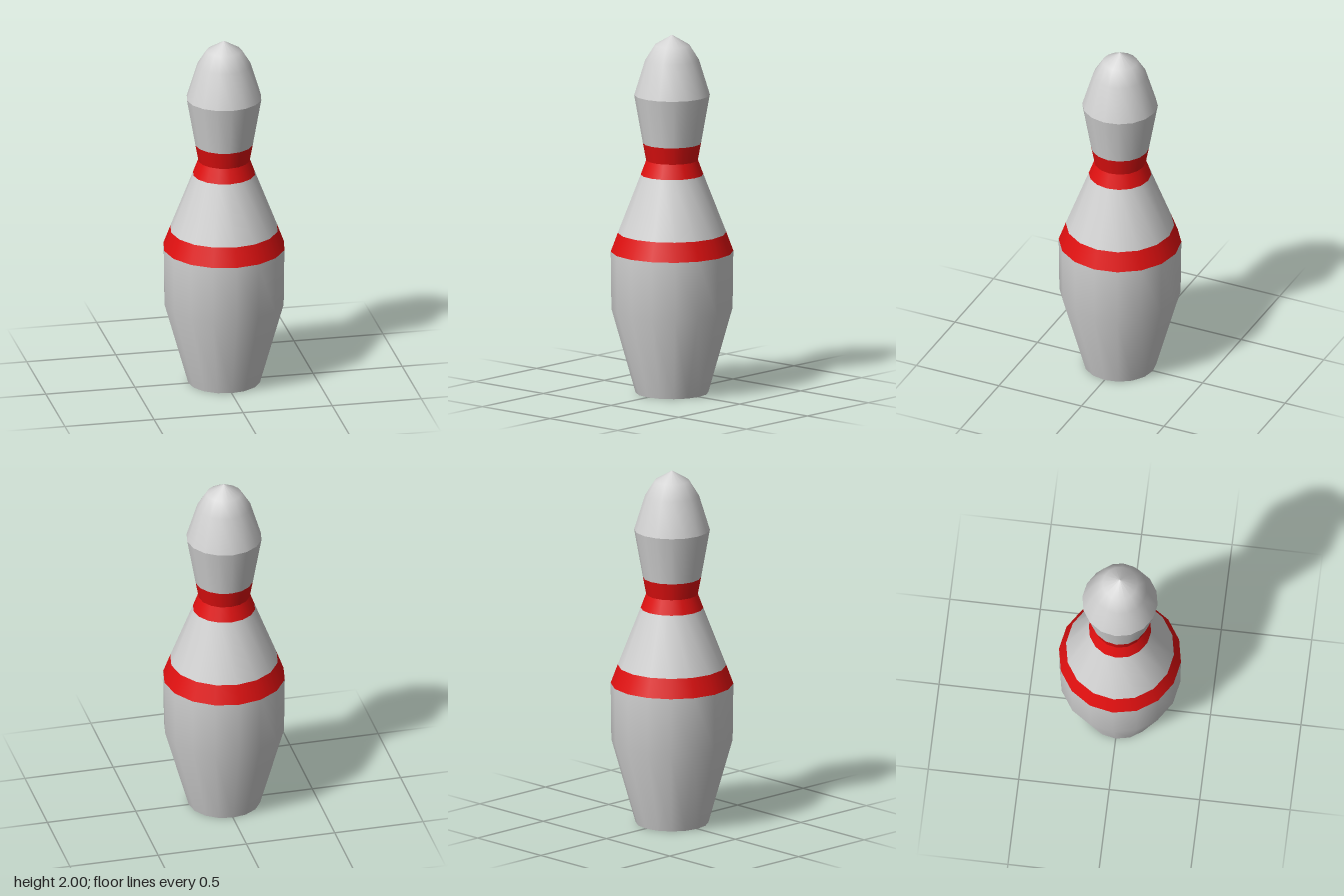
import * as THREE from 'three';

const SIDES = 16;

export function createModel() {
  const white = new THREE.MeshStandardMaterial({ color: 0xd2d2d2 });
  white.name = 'white';
  const red = new THREE.MeshStandardMaterial({ color: 0xe01010 });
  red.name = 'red';

  const pin = new THREE.Group();
  pin.name = 'bowlingPin';

  // Each section is its own lathe: smooth inside, crisp where sections meet
  const section = (name, material, profile) => {
    const points = profile.map(([r, y]) => new THREE.Vector2(r, y));
    const mesh = new THREE.Mesh(new THREE.LatheGeometry(points, SIDES), material);
    mesh.name = name;
    pin.add(mesh);
  };

  section('base', white, [[0, 0], [0.2, 0]]);
  section('belly', white, [[0.2, 0], [0.333, 0.47], [0.337, 0.79]]);
  section('bellyStripe', red, [[0.337, 0.79], [0.298, 0.895]]);
  section('shoulder', white, [[0.298, 0.895], [0.172, 1.22]]);
  section('lowerNeckStripe', red, [[0.172, 1.22], [0.142, 1.3]]);
  section('upperNeckStripe', red, [[0.142, 1.3], [0.16, 1.395]]);
  section('neck', white, [[0.16, 1.395], [0.208, 1.665]]);
  section('head', white, [[0.208, 1.665], [0.148, 1.86], [0.096, 1.943], [0, 2]]);

  return pin;
}
